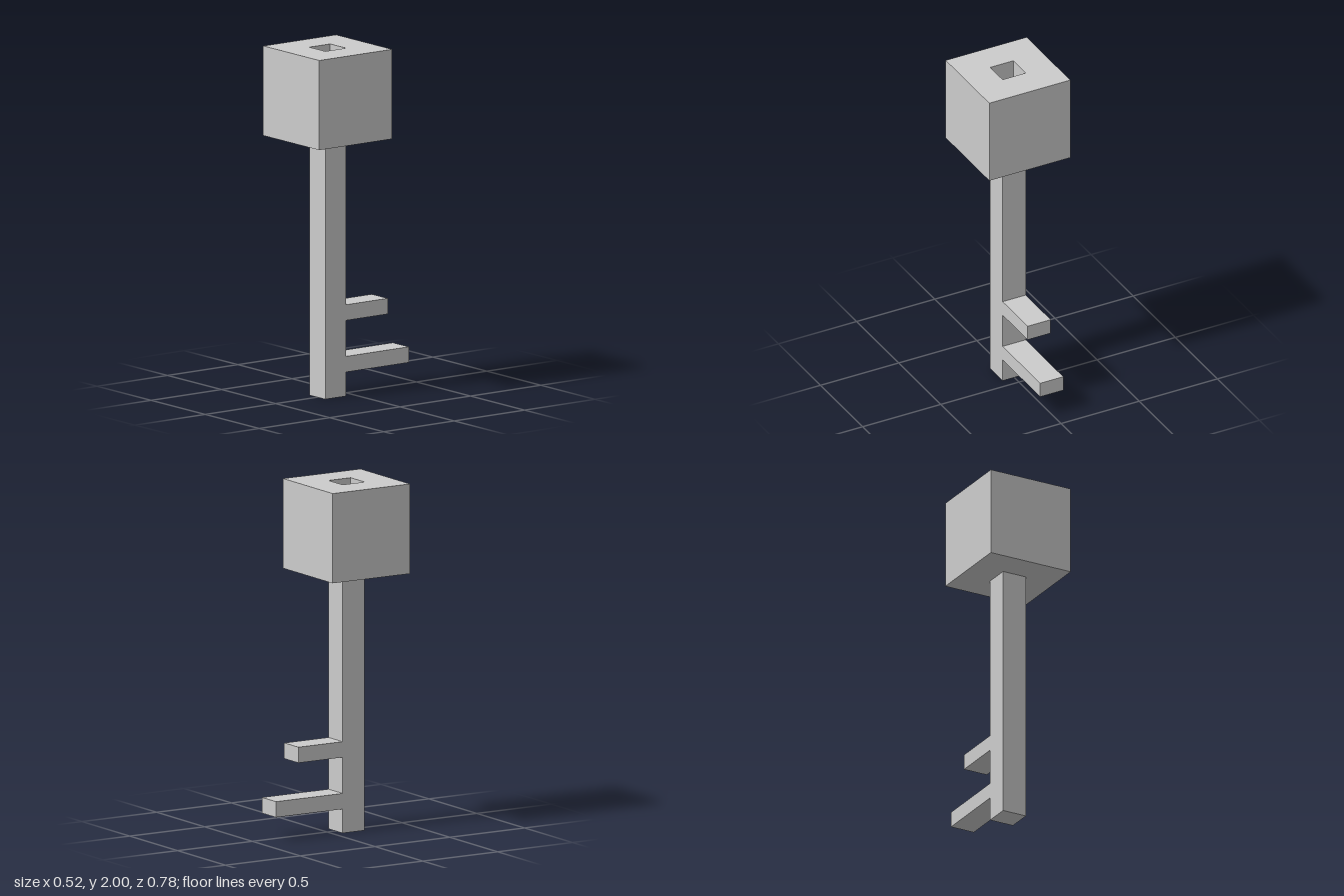
import * as THREE from 'three';

const material = new THREE.MeshStandardMaterial({ color: 0xcccccc, flatShading: true });
const HALF = 0.074; // half width of the shaft, teeth and socket
const AXIS_Z = 0.13; // shaft and head share this axis
const HEAD_BOTTOM = 1.485;

function square(PathType, half) {
  return new PathType([[-1, -1], [1, -1], [1, 1], [-1, 1]].map(([x, y]) => new THREE.Vector2(x * half, y * half)));
}

// Box given by its lower and upper limits in y and z
function bar(name, y0, y1, z0, z1) {
  const mesh = new THREE.Mesh(new THREE.BoxGeometry(2 * HALF, y1 - y0, z1 - z0), material);
  mesh.position.set(0, (y0 + y1) / 2, (z0 + z1) / 2);
  mesh.name = name;
  return mesh;
}

export function createModel() {
  const group = new THREE.Group();
  group.name = 'key';

  // Cubic head with a square socket running down to the shaft
  const outline = square(THREE.Shape, 0.259);
  outline.holes.push(square(THREE.Path, HALF));
  const headGeometry = new THREE.ExtrudeGeometry(outline, { depth: 2 - HEAD_BOTTOM, bevelEnabled: false });
  headGeometry.rotateX(-Math.PI / 2);
  const head = new THREE.Mesh(headGeometry, material);
  head.position.set(0, HEAD_BOTTOM, AXIS_Z);
  head.name = 'head';
  group.add(head);

  // Shaft, whose top closes the socket
  const back = AXIS_Z - HALF;
  group.add(bar('shaft', 0, HEAD_BOTTOM, back, AXIS_Z + HALF));

  // Teeth pointing backwards
  group.add(bar('upperTooth', 0.435, 0.525, -0.24, back));
  group.add(bar('lowerTooth', 0.138, 0.228, -0.389, back));

  return group;
}
